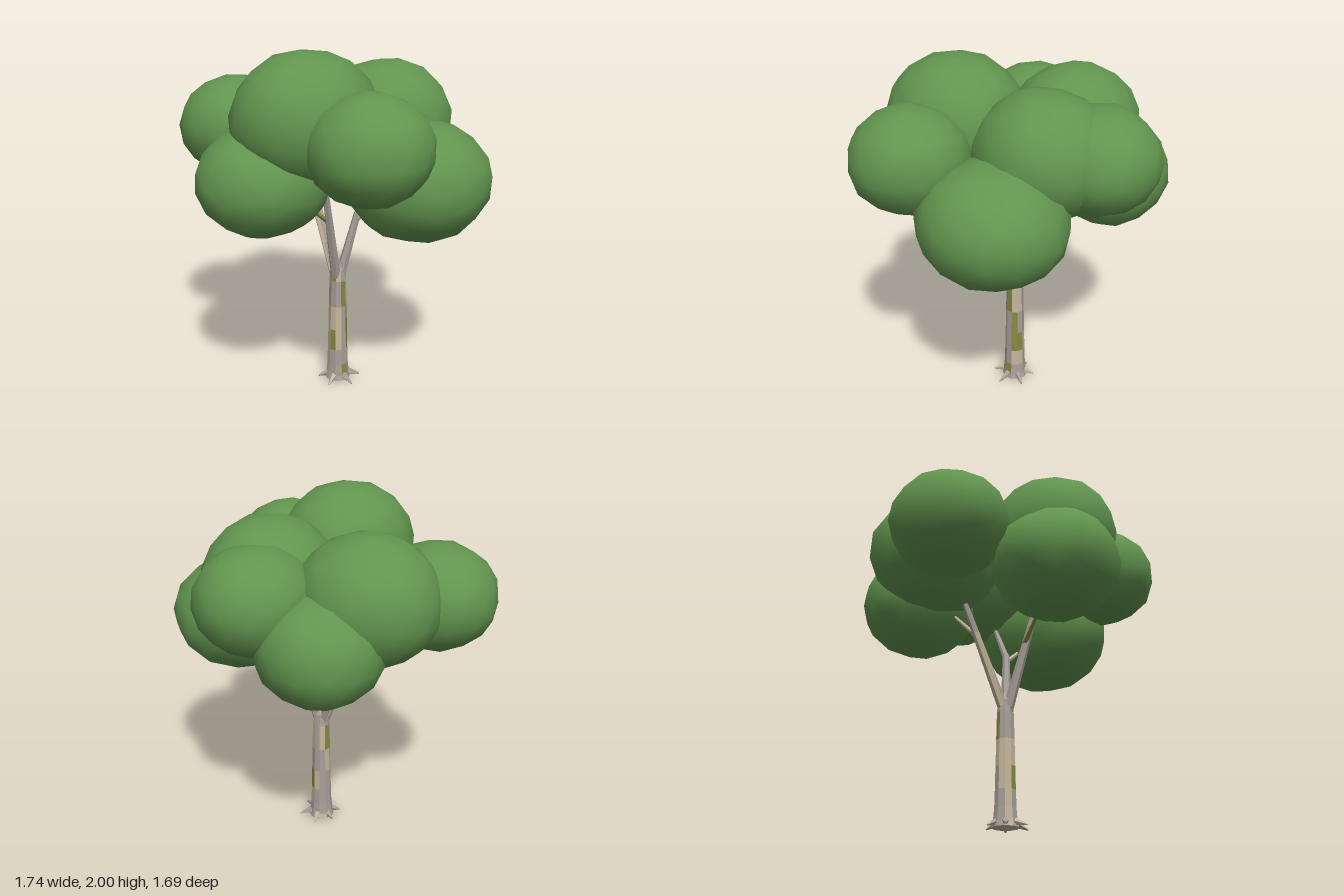
import * as THREE from 'three';
import { mergeVertices } from 'three/addons/utils/BufferGeometryUtils.js';

const mat = (name, color) => new THREE.MeshStandardMaterial({ name, color });
const V = (x, y, z) => new THREE.Vector3(x, y, z);

// Duplicates corners so that every face gets its own flat normal
function faceted(geometry) {
  const g = geometry.index ? geometry.toNonIndexed() : geometry;
  g.computeVertexNormals();
  return g;
}

// Low-poly leaf ball, smooth shaded and slightly irregular
function leafBall(seed, radii) {
  let g = new THREE.IcosahedronGeometry(1, 2);
  g.deleteAttribute('normal');
  g.deleteAttribute('uv');
  g = mergeVertices(g, 1e-4);
  g.rotateX(seed * 1.3);
  g.rotateY(seed * 2.1);
  const p = g.attributes.position;
  for (let i = 0; i < p.count; i++) {
    const v = V().fromBufferAttribute(p, i);
    v.multiplyScalar(1.015 + 0.02 * Math.sin(v.x * 5 + seed) * Math.sin(v.z * 4 + v.y * 3 + seed * 2));
    p.setXYZ(i, v.x, v.y, v.z);
  }
  g.scale(...radii);
  g.computeVertexNormals();
  return g;
}

export function createModel() {
  const tree = new THREE.Group();
  tree.name = 'tree';
  const leaf = mat('leaf green', 0x62954f);
  const grey = mat('bark grey', 0xa89f98);
  const tan = mat('bark tan', 0xc4b69b);
  const olive = mat('bark olive', 0x858a42);
  const add = (name, geometry, material, parent = tree) => {
    const mesh = new THREE.Mesh(geometry, material);
    mesh.name = name;
    parent.add(mesh);
    return mesh;
  };

  // Trunk: ten sides with patches of bark, one letter per height band
  const cx = 0.018, cz = -0.02;
  const heights = [0, 0.03, 0.1, 0.2, 0.33, 0.48, 0.64, 0.71];
  const radii = [0.076, 0.069, 0.062, 0.059, 0.056, 0.053, 0.049, 0.043];
  const patches = ['gggotgo', 'gggttgt', 'gogggog', 'ggtoott', 'ggtogtt',
    'gggtggg', 'tggggtg', 'ggggtog', 'gggttgg', 'tttttgg'];
  const barks = [grey, tan, olive];
  const trunk = new THREE.BufferGeometry();
  const points = [];
  const corner = (side, band) => {
    const a = side * Math.PI * 2 / patches.length;
    return [cx + Math.sin(a) * radii[band], heights[band], cz + Math.cos(a) * radii[band]];
  };
  patches.forEach((column, s) => [...column].forEach((letter, b) => {
    const [p, q, r, t] = [corner(s, b), corner(s + 1, b), corner(s + 1, b + 1), corner(s, b + 1)];
    trunk.addGroup(points.length / 3, 6, 'gto'.indexOf(letter));
    points.push(...p, ...q, ...r, ...p, ...r, ...t);
  }));
  trunk.setAttribute('position', new THREE.Float32BufferAttribute(points, 3));
  add('trunk', faceted(trunk), barks);
  const crown = add('trunkTop', faceted(new THREE.ConeGeometry(0.043, 0.06, 10)), grey);
  crown.position.set(cx, 0.74, cz);
  const base = add('trunkBase', new THREE.CircleGeometry(0.076, 10).rotateX(Math.PI / 2), tan);
  base.position.set(cx, 0.001, cz);

  // Tapered limb between two points
  const limb = (name, from, to, r0, r1, material, sides = 6) => {
    const along = to.clone().sub(from);
    const g = new THREE.CylinderGeometry(r1, r0, along.length(), sides);
    const mesh = add(name, faceted(g), material);
    mesh.position.copy(from).addScaledVector(along, 0.5);
    mesh.quaternion.setFromUnitVectors(V(0, 1, 0), along.normalize());
  };

  // Roots spreading on the ground
  for (let i = 0; i < 6; i++) {
    const a = i * Math.PI / 3 + 0.45;
    const reach = 0.125 + 0.015 * Math.sin(a);
    const at = (r, y) => V(cx + Math.sin(a) * r, y, cz + Math.cos(a) * r);
    limb('root', at(0.05, 0.03), at(reach, 0.005), 0.024, 0.004, i % 3 ? grey : tan, 5);
  }

  // Main branches and their twigs
  limb('branchRight', V(-0.002, 0.68, -0.02), V(-0.26, 1.26, -0.03), 0.03, 0.017, grey);
  limb('branchRightStripe', V(-0.01, 0.67, -0.012), V(-0.188, 1.08, -0.015), 0.024, 0.02, tan);
  limb('branchFront', V(0.025, 0.67, 0), V(0.11, 1.25, 0.155), 0.031, 0.018, grey);
  limb('branchBack', V(0.03, 0.67, -0.03), V(0.085, 1.05, -0.11), 0.031, 0.02, grey);
  limb('branchBackTip', V(0.083, 1.03, -0.107), V(0.08, 1.28, -0.23), 0.02, 0.012, grey);
  limb('twigFront', V(0.07, 1.04, 0.1), V(0.05, 1.18, 0.27), 0.015, 0.008, olive, 5);
  limb('twigRight', V(-0.17, 1.07, -0.03), V(-0.26, 1.21, -0.13), 0.015, 0.01, tan, 5);
  limb('twigLeft', V(0.08, 1.0, -0.1), V(0.21, 1.12, -0.13), 0.014, 0.009, tan, 5);

  // Leaf balls: centre and radii
  const canopy = new THREE.Group();
  canopy.name = 'canopy';
  tree.add(canopy);
  [
    ['leavesTop', 0.125, 1.645, 0.29, 0.364, 0.356, 0.402],
    ['leavesFront', 0.003, 1.335, 0.49, 0.355, 0.294, 0.352],
    ['leavesFrontRight', -0.545, 1.515, 0.27, 0.325, 0.283, 0.32],
    ['leavesFrontLeft', 0.545, 1.555, 0.24, 0.32, 0.28, 0.32],
    ['leavesLeft', 0.45, 1.3, -0.215, 0.378, 0.326, 0.4],
    ['leavesTopBack', 0.122, 1.575, -0.283, 0.36, 0.337, 0.372],
    ['leavesBack', -0.035, 1.555, -0.52, 0.315, 0.28, 0.32],
    ['leavesBackRight', -0.355, 1.35, -0.395, 0.338, 0.295, 0.32],
    ['leavesRight', -0.41, 1.55, -0.108, 0.387, 0.341, 0.368],
  ].forEach(([name, x, y, z, ...size], i) => {
    add(name, leafBall(i + 1, size), leaf, canopy).position.set(x, y, z);
  });
  return tree;
}
